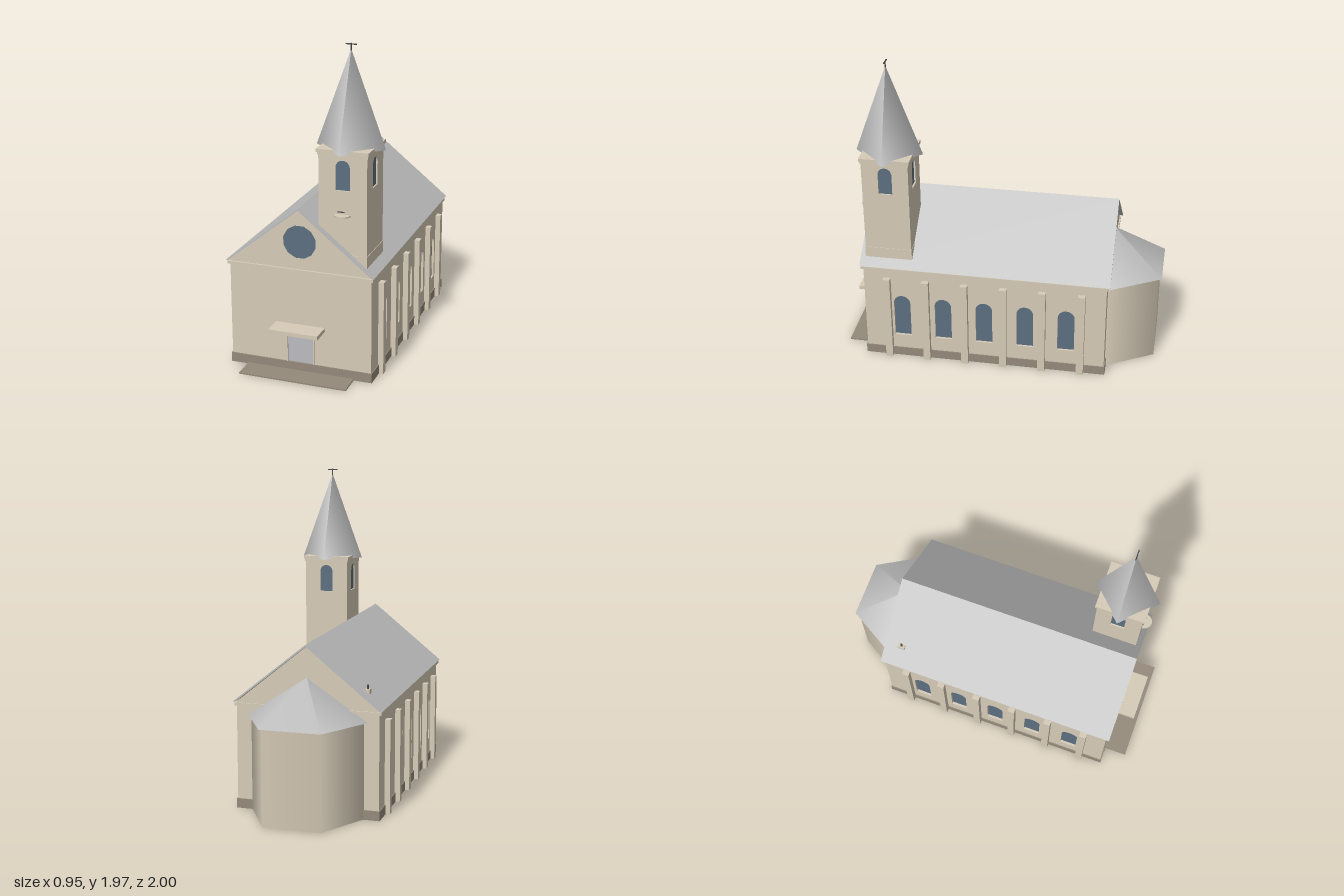
import * as THREE from 'three';

const mat = (name, color, side = THREE.FrontSide) => {
  const m = new THREE.MeshStandardMaterial({ color, side });
  m.name = name;
  return m;
};

// Shape of a round-topped window with its sill at y
function archShape(x, y, w, h, PathType = THREE.Shape) {
  const r = w / 2, p = new PathType();
  p.moveTo(x - r, y);
  p.lineTo(x + r, y);
  p.lineTo(x + r, y + h - r);
  p.absarc(x, y + h - r, r, 0, Math.PI, false);
  p.lineTo(x - r, y);
  return p;
}

function polygon(points) {
  return new THREE.Shape(points.map(([x, y]) => new THREE.Vector2(x, y)));
}

const rect = (x0, x1, y0, y1) => polygon([[x0, y0], [x1, y0], [x1, y1], [x0, y1]]);
const extrude = (shape, depth) =>
  new THREE.ExtrudeGeometry(shape, { depth, bevelEnabled: false, curveSegments: 6 });

export function createModel() {
  const model = new THREE.Group();
  model.name = 'church';
  const stone = mat('stone', 0xd6cbb7, THREE.DoubleSide);
  const slate = mat('slate', 0xbdbdbd, THREE.DoubleSide);
  const glass = mat('glass', 0x5c6f80, THREE.DoubleSide);
  const base = mat('dark stone', 0x958a7b);
  const door = mat('door', 0xbcbcc0);
  const metal = mat('dark metal', 0x4a4a4a);

  const add = (name, geometry, material, x = 0, y = 0, z = 0, parent = model) => {
    const m = new THREE.Mesh(geometry, material);
    m.name = name;
    m.position.set(x, y, z);
    parent.add(m);
    return m;
  };
  // Box given by its limits
  const box = (name, material, x0, x1, y0, y1, z0, z1, parent) =>
    add(name, new THREE.BoxGeometry(x1 - x0, y1 - y0, z1 - z0), material,
      (x0 + x1) / 2, (y0 + y1) / 2, (z0 + z1) / 2, parent);
  // Hollow rectangular band, open above and below
  const ring = (name, material, hx, y0, y1, z0, z1, t) => {
    const s = rect(-hx, hx, -z1, -z0);
    s.holes.push(rect(-hx + t, hx - t, -z1 + t, -z0 - t));
    add(name, extrude(s, y1 - y0), material, 0, y0, 0).rotation.x = -Math.PI / 2;
  };

  // Nave side walls with five arched windows and six buttresses each
  const wall = rect(-0.85, 0.68, 0, 0.66);
  const windows = [0.61, 0.347, 0.085, -0.175, -0.435];
  for (const z of windows) wall.holes.push(archShape(-z, 0.155, 0.106, 0.295, THREE.Path));
  for (const side of [1, -1]) {
    add('sideWall', extrude(wall, 0.03), stone, side > 0 ? 0.41 : -0.44).rotation.y = Math.PI / 2;
    for (const z of windows) {
      const pane = new THREE.ShapeGeometry(archShape(-z, 0.155, 0.106, 0.295), 6);
      add('naveWindow', pane, glass, side * 0.425).rotation.y = Math.PI / 2;
    }
    for (let i = 0; i < 6; i++) {
      const z = 0.7 - i * 0.246;
      add('buttress', new THREE.BoxGeometry(0.036, 0.58, 0.045), stone, side * 0.455, 0.29, z);
    }
  }

  // Gable walls; the front one has a door and a round window
  const gable = () => polygon([[-0.44, 0], [0.44, 0], [0.44, 0.66], [0, 1.017], [-0.44, 0.66]]);
  const front = gable();
  const rose = [];
  for (let i = 0; i < 12; i++) {
    const a = (i + 0.5) * Math.PI / 6;
    rose.push([0.103 * Math.cos(a), 0.82 + 0.103 * Math.sin(a)]);
  }
  front.holes.push(polygon(rose), rect(-0.08, 0.08, 0.03, 0.22));
  add('frontGable', extrude(front, 0.03), stone, 0, 0, 0.82);
  add('backGable', extrude(gable(), 0.03), stone, 0, 0, -0.68);
  add('roseWindow', new THREE.ShapeGeometry(polygon(rose)), glass, 0, 0, 0.846);
  box('door', door, -0.08, 0.08, 0.03, 0.22, 0.825, 0.847);
  for (const s of [-1, 1]) add('doorJamb', new THREE.BoxGeometry(0.01, 0.175, 0.012), stone, s * 0.085, 0.1375, 0.85);
  box('doorLintel', stone, -0.09, 0.09, 0.22, 0.23, 0.844, 0.856);
  box('doorCanopy', stone, -0.153, 0.153, 0.28, 0.304, 0.845, 0.975);
  box('doorStep', base, -0.335, 0.335, 0, 0.009, 0.85, 1);

  // Plinth and eaves cornice
  ring('plinth', base, 0.446, 0, 0.058, -0.686, 0.857, 0.03);
  ring('cornice', stone, 0.453, 0.635, 0.653, -0.688, 0.863, 0.03);

  // Main roof
  const roof = polygon([[-0.46, 0.66], [-0.445, 0.66], [0, 1.018], [0.445, 0.66], [0.46, 0.66], [0, 1.031]]);
  add('mainRoof', extrude(roof, 1.57), slate, 0, 0, -0.7);

  // Three-sided apse with smooth shading
  add('apseWall', new THREE.CylinderGeometry(0.35, 0.35, 0.585, 3, 1, true, Math.PI / 2, Math.PI),
    stone, 0, 0.2925, -0.677);
  add('apseRoof', new THREE.ConeGeometry(0.37, 0.245, 3, 1, true, Math.PI / 2, Math.PI),
    slate, 0, 0.7075, -0.68);

  // Tower: four walls with an arched opening each
  const tower = new THREE.Group();
  tower.name = 'tower';
  tower.position.set(0.26, 0, 0.69);
  model.add(tower);
  const towerWall = rect(-0.145, 0.145, 0.705, 1.37);
  towerWall.holes.push(archShape(0, 1.155, 0.086, 0.178, THREE.Path));
  for (let i = 0; i < 4; i++) {
    const face = new THREE.Group();
    face.name = 'towerFace';
    face.rotation.y = i * Math.PI / 2;
    tower.add(face);
    add('towerWall', extrude(towerWall, 0.02), stone, 0, 0, 0.125, face);
    add('towerWindow', new THREE.ShapeGeometry(archShape(0, 1.155, 0.086, 0.178), 6), glass, 0, 0, 0.135, face);
    box('towerBaseBand', stone, -0.148, 0.148, 0.705, 0.775, 0.14, 0.148, face);
  }
  box('towerCorniceLower', stone, -0.15, 0.15, 1.355, 1.372, -0.15, 0.15, tower);
  box('towerCorniceUpper', stone, -0.156, 0.156, 1.372, 1.392, -0.156, 0.156, tower);

  // Flat disc ledge and small pointer on the tower front
  add('towerDisc', new THREE.CylinderGeometry(0.048, 0.048, 0.01, 12), stone, 0, 1.01, 0.147, tower);
  box('towerPointer', metal, -0.03, 0.01, 1.027, 1.032, 0.144, 0.152, tower);

  // Four-sided spire with smooth shading, and its cross
  add('spire', new THREE.ConeGeometry(0.208, 0.565, 4), slate, 0, 1.6575, 0, tower);
  box('crossPost', metal, -0.003, 0.003, 1.92, 1.972, -0.003, 0.003, tower);
  box('crossBar', metal, -0.033, 0.033, 1.963, 1.969, -0.003, 0.003, tower);

  // Chimney on the right roof slope
  box('chimney', stone, -0.361, -0.335, 0.71, 0.768, -0.612, -0.566);
  add('chimneyPot', new THREE.CylinderGeometry(0.007, 0.007, 0.025, 8), metal, -0.345, 0.778, -0.589);

  return model;
}
